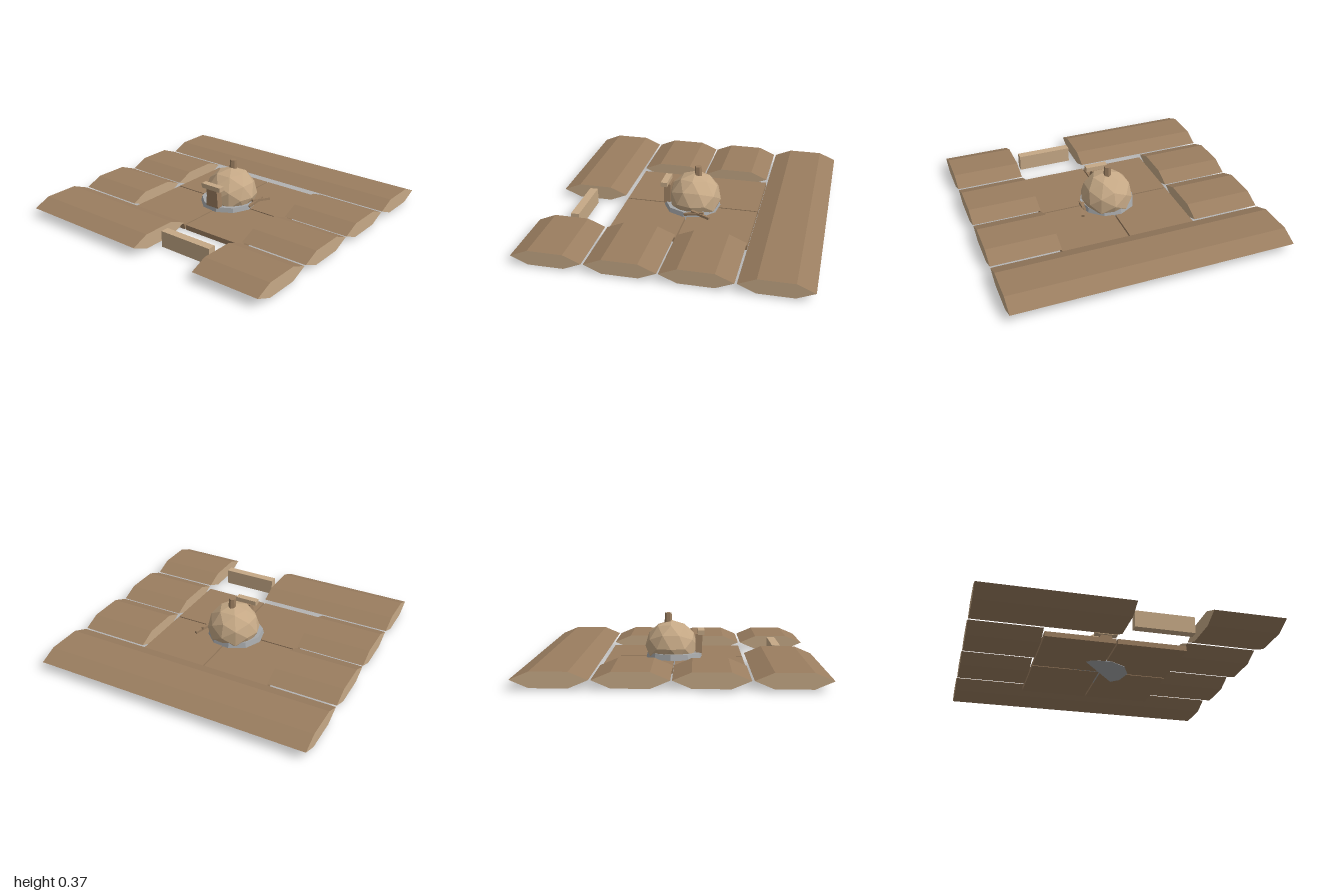
import * as THREE from 'three';

export function createModel() {
  const model = new THREE.Group();
  const mat = (name, color) => new THREE.MeshStandardMaterial({ name, color, flatShading: true });
  const bark = mat('bark brown', 0x9b7e60);
  const tan = mat('cut wood tan', 0xc6a986);
  const stone = mat('stone grey', 0xa6a8aa);

  const add = (name, geometry, material, x = 0, y = 0, z = 0) => {
    const mesh = new THREE.Mesh(geometry, material);
    mesh.name = name;
    mesh.position.set(x, y, z);
    model.add(mesh);
    return mesh;
  };
  const box = (name, w, h, d, material, x, y, z) =>
    add(name, new THREE.BoxGeometry(w, h, d), material, x, y, z);

  // Six-sided wall logs with pale cut ends
  const section = new THREE.Shape([
    [-0.245, 0], [-0.122, -0.052], [0.122, -0.052],
    [0.245, 0], [0.122, 0.052], [-0.122, 0.052],
  ].map(([x, y]) => new THREE.Vector2(x, y)));
  const log = (name, x0, x1, z) => {
    const g = new THREE.ExtrudeGeometry(section, { depth: x1 - x0, bevelEnabled: false });
    g.rotateY(Math.PI / 2);
    add(name, g, [tan, bark], x0, 0.065, z);
  };
  log('backLog', -1, 1, -0.755);
  log('frontRightLog', -1, 0, 0.755);
  log('frontLeftLog', 0.5, 1, 0.755);
  for (const z of [-0.25, 0.25]) {
    log('rightSideLog', -1, -0.5, z);
    log('leftSideLog', 0.5, 1, z);
    // Courtyard floor panels
    for (const x of [-0.25, 0.25]) box('floorPanel', 0.49, 0.036, 0.49, bark, x, 0.023, z);
  }

  // Gate standing in the front opening
  box('gate', 0.41, 0.117, 0.06, tan, 0.248, 0.0585, 0.75);

  // Slightly uneven stone footing, just reaching through the floor
  const footing = add('stoneFooting', new THREE.CylinderGeometry(0.2, 0.215, 0.074, 10), stone, -0.008, 0.042, -0.005);
  footing.rotation.set(0.014, 0.2, -0.014);

  // Faceted hut dome, flattened where it meets the footing
  const domeGeo = new THREE.IcosahedronGeometry(0.193, 1);
  const p = domeGeo.attributes.position;
  for (let i = 0; i < p.count; i++) p.setY(i, Math.max(p.getY(i), -0.07));
  domeGeo.computeVertexNormals();
  add('hutDome', domeGeo, tan, 0, 0.118, -0.028);

  // Chimney
  add('chimney', new THREE.CylinderGeometry(0.024, 0.029, 0.085, 6), bark, 0, 0.3225, -0.05);

  // Tapered door under a pale lintel
  const doorGeo = new THREE.BoxGeometry(0.11, 0.14, 0.05);
  const d = doorGeo.attributes.position;
  for (let i = 0; i < d.count; i++) if (d.getY(i) > 0) d.setX(i, d.getX(i) * 0.78);
  add('door', doorGeo, bark, 0, 0.143, 0.175);
  box('doorLintel', 0.165, 0.034, 0.048, tan, 0, 0.227, 0.191);

  // Loose sticks leaning beside the dome
  for (const [x, y, z, turn, tilt] of [[0.212, 0.082, -0.11, -0.36, -0.1], [0.2, 0.078, -0.06, -0.1, 0.2]]) {
    const stick = box('looseStick', 0.02, 0.018, 0.15, bark, x, y, z);
    stick.rotation.set(tilt, turn, 0);
  }
  return model;
}
